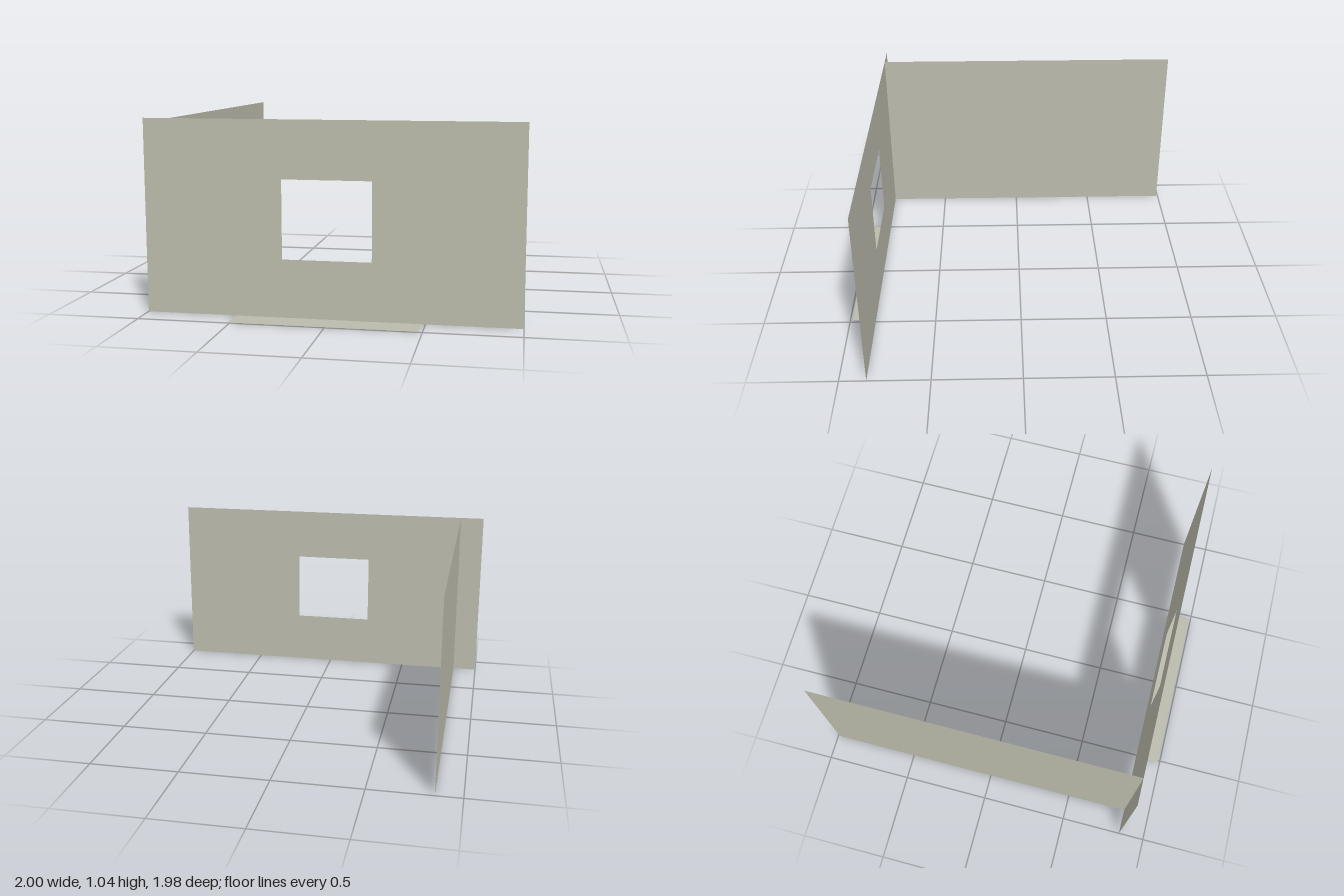
import * as THREE from 'three';

export function createModel() {
  const model = new THREE.Group();
  const plaster = new THREE.MeshStandardMaterial({ color: 0xbbbbac, side: THREE.DoubleSide });
  plaster.name = 'plaster';
  const height = 1.045, frontZ = 0.85, backZ = -0.99, stepZ = 0.99;

  const rect = (path, x0, y0, x1, y1) =>
    path.moveTo(x0, y0).lineTo(x1, y0).lineTo(x1, y1).lineTo(x0, y1).closePath();

  const add = (name, geometry, x, y, z) => {
    const mesh = new THREE.Mesh(geometry, plaster);
    mesh.name = name;
    mesh.position.set(x, y, z);
    model.add(mesh);
  };

  // Front wall with its window opening
  const outline = new THREE.Shape();
  rect(outline, -1, 0, 1, height);
  const opening = new THREE.Path();
  rect(opening, -0.255, 0.313, 0.22, 0.735);
  outline.holes.push(opening);
  add('frontWall', new THREE.ShapeGeometry(outline), 0, 0, frontZ);

  // Side wall running back, set in from the end of the front wall
  const side = new THREE.PlaneGeometry(frontZ - backZ, height).rotateY(-Math.PI / 2);
  add('sideWall', side, -0.855, height / 2, (frontZ + backZ) / 2);

  // Flat step on the ground in front of the wall
  const step = new THREE.PlaneGeometry(0.99, stepZ - frontZ).rotateX(-Math.PI / 2);
  add('frontStep', step, -0.015, 0, (frontZ + stepZ) / 2);

  return model;
}
